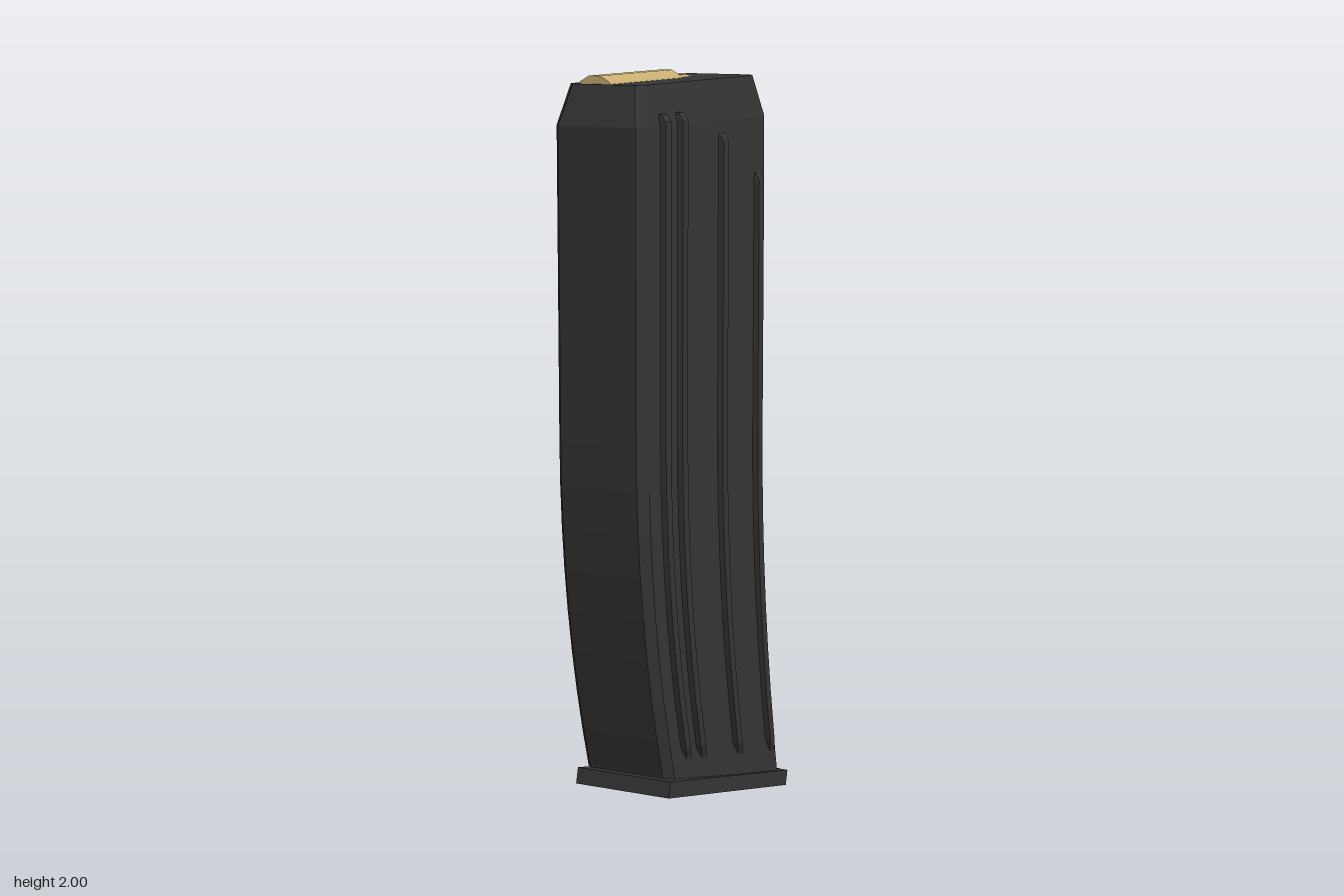
import * as THREE from 'three';

// Point on the curved body: s runs 0 (foot) to 2 (top), u runs 0 (front) to 1 (back)
function bodyPoint(x, s, u) {
  const yf = 0.22 + 0.88 * s;
  const yb = 0.05 + (s < 1 ? s : 1 + 0.93 * (s - 1));
  const zf = 0.428 - 0.181 * Math.max(0, 1.1 - yf) ** 2;
  const zb = -0.28 - 0.11 * Math.max(0, 1.05 - yb) ** 2;
  return [x, yf + (yb - yf) * u, zf + (zb - zf) * u];
}

// Skin closed rings from bottom to top and cap both ends
function loft(rings, flip = false) {
  const pos = [];
  const tri = (a, b, c) => pos.push(...a, ...(flip ? c : b), ...(flip ? b : c));
  const n = rings[0].length;
  for (let r = 0; r < rings.length - 1; r++) {
    const lo = rings[r], hi = rings[r + 1];
    for (let i = 0; i < n; i++) {
      const j = (i + 1) % n;
      tri(lo[i], lo[j], hi[j]);
      tri(lo[i], hi[j], hi[i]);
    }
  }
  const first = rings[0], last = rings[rings.length - 1];
  for (let i = 1; i < n - 1; i++) {
    tri(first[0], first[i + 1], first[i]);
    tri(last[0], last[i], last[i + 1]);
  }
  const g = new THREE.BufferGeometry();
  g.setAttribute('position', new THREE.Float32BufferAttribute(pos, 3));
  g.computeVertexNormals();
  return g;
}

export function createModel() {
  const group = new THREE.Group();
  const casing = new THREE.MeshStandardMaterial({ color: 0x343434, flatShading: true });
  casing.name = 'dark grey';
  const brass = new THREE.MeshStandardMaterial({ color: 0xc8ad72, flatShading: true });
  brass.name = 'brass';

  const add = (name, geometry, material, parent = group) => {
    const m = new THREE.Mesh(geometry, material);
    m.name = name;
    parent.add(m);
    return m;
  };

  // Curved body: chamfered rectangle, narrowing at the top
  const octagon = (s, w, inset = 0) => {
    const c = w - 0.02, k = 0.04;
    return [[-c, 0], [c, 0], [w, k], [w, 1 - k], [c, 1], [-c, 1], [-w, 1 - k], [-w, k]]
      .map(([x, u]) => bodyPoint(x, s, inset + (1 - 1.85 * inset) * u));
  };
  const levels = [0, 0.125, 0.25, 0.375, 0.5, 0.625, 0.75, 0.875, 1, 1.887];
  const rings = levels.map((s) => octagon(s, 0.126));
  rings.push(octagon(2, 0.105, 0.053));
  add('body', loft(rings), casing);

  // Raised ribs following the curve, mirrored on both sides
  const ribs = [[0.152, 1.92], [0.28, 1.92], [0.602, 1.85], [0.9, 1.73]];
  for (const side of [1, -1]) {
    ribs.forEach(([u, top], i) => {
      const section = (s, x, shift = 0) => {
        const v = u + shift;
        return [[0.1, v - 0.029], [x, v - 0.021], [x, v + 0.021], [0.1, v + 0.029]]
          .map(([px, pu]) => bodyPoint(side * px, s, pu));
      };
      const ribRings = [section(0.065, 0.127, 0.03), section(0.1, 0.14)];
      for (const s of levels.slice(2, 9)) ribRings.push(section(s, 0.14));
      ribRings.push(section(top - 0.02, 0.14), section(top, 0.128));
      add((side > 0 ? 'leftRib' : 'rightRib') + (i + 1), loft(ribRings, side < 0), casing);
    });
  }

  // Sloping base plate with a rear lip
  const base = new THREE.Group();
  base.name = 'base';
  base.position.set(0, 0.113, -0.05);
  base.rotation.x = -0.237;
  group.add(base);
  add('basePlate', new THREE.BoxGeometry(0.27, 0.042, 0.735), casing, base);
  add('baseLip', new THREE.BoxGeometry(0.21, 0.04, 0.04), casing, base).position.z = -0.368;

  // Top cartridge, half sunk into the body and pointing backwards
  const profile = [[0, -0.38], [0.058, -0.38], [0.058, 0], [0.043, 0.035],
    [0.0425, 0.09], [0.0395, 0.095], [0.0375, 0.152], [0.015, 0.22], [0, 0.23]]
    .map(([r, y]) => new THREE.Vector2(r, y));
  const cartridge = add('cartridge',
    new THREE.LatheGeometry(profile, 12, Math.PI / 12).rotateX(-Math.PI / 2), brass);
  cartridge.position.set(-0.031, 1.944, 0);

  return group;
}
